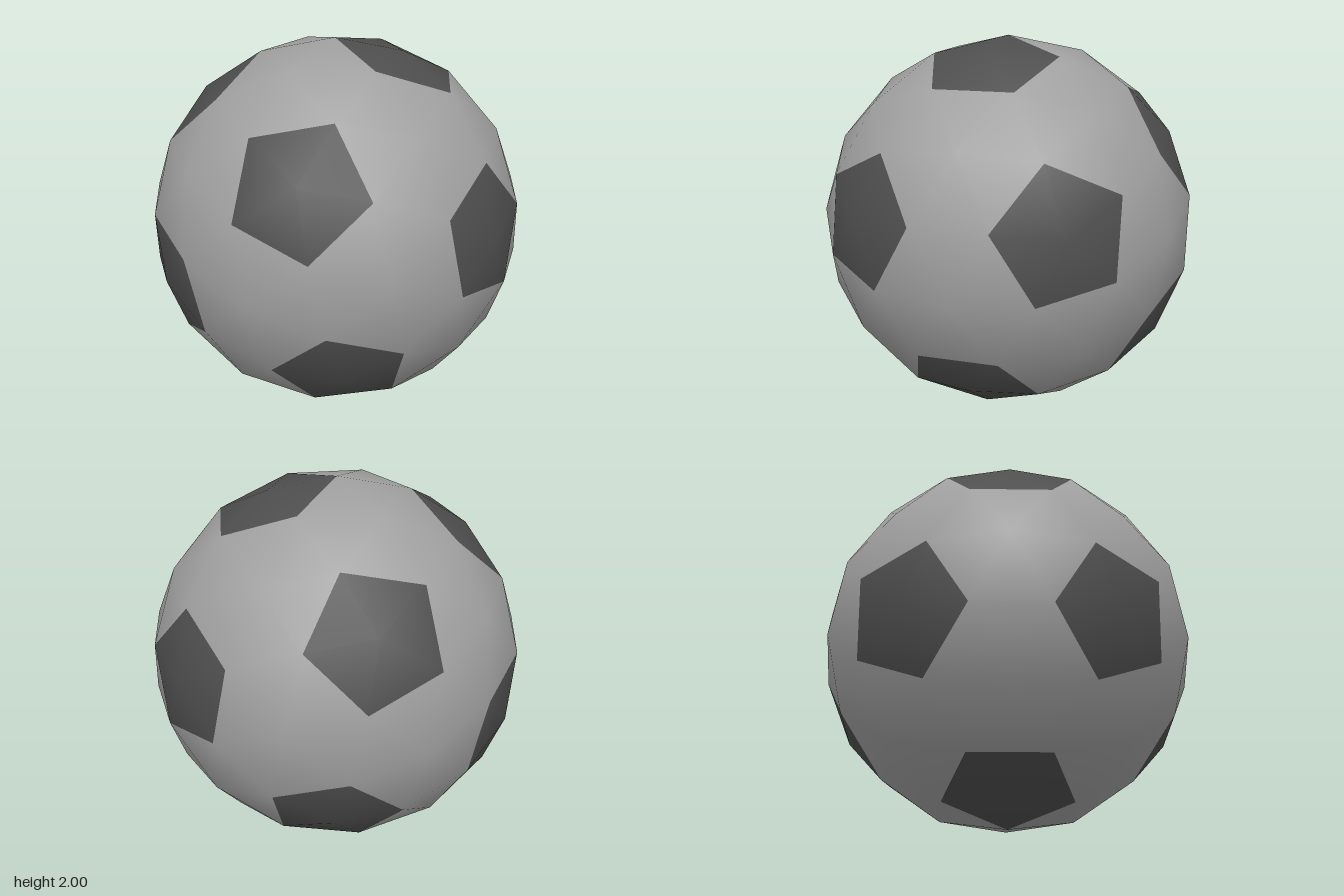
import * as THREE from 'three';

const RADIUS = 1;
const TILT = 0.3504; // angle from a panel's centre to its corner
const TURN = THREE.MathUtils.degToRad(34.5);
const SPLIT = 0.338; // where seam corners divide the line between two panel centres

// Centres of the twelve dark panels (icosahedron corners), tilted so a seam corner is on top
function panelAxes() {
  const axes = [new THREE.Vector3(0, 1, 0), new THREE.Vector3(0, -1, 0)];
  const y = 1 / Math.sqrt(5), r = 2 / Math.sqrt(5);
  for (let i = 0; i < 5; i++) {
    const a = (i * 2 * Math.PI) / 5;
    const p = new THREE.Vector3(r * Math.sin(a), y, -r * Math.cos(a));
    axes.push(p, p.clone().negate());
  }
  const xAxis = new THREE.Vector3(1, 0, 0), yAxis = new THREE.Vector3(0, 1, 0);
  return axes.map((p) => p.applyAxisAngle(xAxis, TILT).applyAxisAngle(yAxis, TURN));
}

// Domed panel: triangles from a raised centre to corners ordered counter-clockwise from outside
function addPanel(positions, corners) {
  const centre = new THREE.Vector3();
  corners.forEach((p) => centre.add(p));
  centre.setLength(RADIUS);
  const n = centre.clone().normalize();
  const u = corners[0].clone().projectOnPlane(n).normalize();
  const v = n.clone().cross(u);
  const angle = (p) => Math.atan2(p.dot(v), p.dot(u));
  const ring = [...corners].sort((a, b) => angle(a) - angle(b));
  ring.forEach((p, i) => {
    for (const q of [centre, p, ring[(i + 1) % ring.length]]) positions.push(q.x, q.y, q.z);
  });
}

// Radial normals give the faceted ball its smooth shading
function panelMesh(name, positions, material) {
  const geometry = new THREE.BufferGeometry();
  geometry.setAttribute('position', new THREE.Float32BufferAttribute(positions, 3));
  geometry.setAttribute('normal', new THREE.Float32BufferAttribute(positions.map((c) => c / RADIUS), 3));
  const mesh = new THREE.Mesh(geometry, material);
  mesh.name = name;
  mesh.position.y = RADIUS;
  return mesh;
}

export function createModel() {
  const lightGrey = new THREE.MeshStandardMaterial({ color: 0xa0a0a0 });
  lightGrey.name = 'light grey';
  const darkGrey = new THREE.MeshStandardMaterial({ color: 0x4e4e4e });
  darkGrey.name = 'dark grey';

  const axes = panelAxes();
  const adjacent = (a, b) => Math.abs(a.dot(b) - 1 / Math.sqrt(5)) < 0.01;
  // Seam corner about a third of the way from panel a to panel b
  const corner = (a, b) => a.clone().lerp(b, SPLIT).setLength(RADIUS);

  // Five-sided panels
  const pentagons = [];
  for (const a of axes) {
    addPanel(pentagons, axes.filter((b) => adjacent(a, b)).map((b) => corner(a, b)));
  }

  // Six-sided panels, one for each trio of neighbouring axes
  const hexagons = [];
  axes.forEach((a, i) => axes.forEach((b, j) => axes.forEach((c, k) => {
    if (i < j && j < k && adjacent(a, b) && adjacent(b, c) && adjacent(a, c)) {
      addPanel(hexagons, [corner(a, b), corner(b, a), corner(b, c), corner(c, b), corner(c, a), corner(a, c)]);
    }
  })));

  const ball = new THREE.Group();
  ball.name = 'ball';
  ball.add(
    panelMesh('hexagonPanels', hexagons, lightGrey),
    panelMesh('pentagonPanels', pentagons, darkGrey),
  );
  return ball;
}
